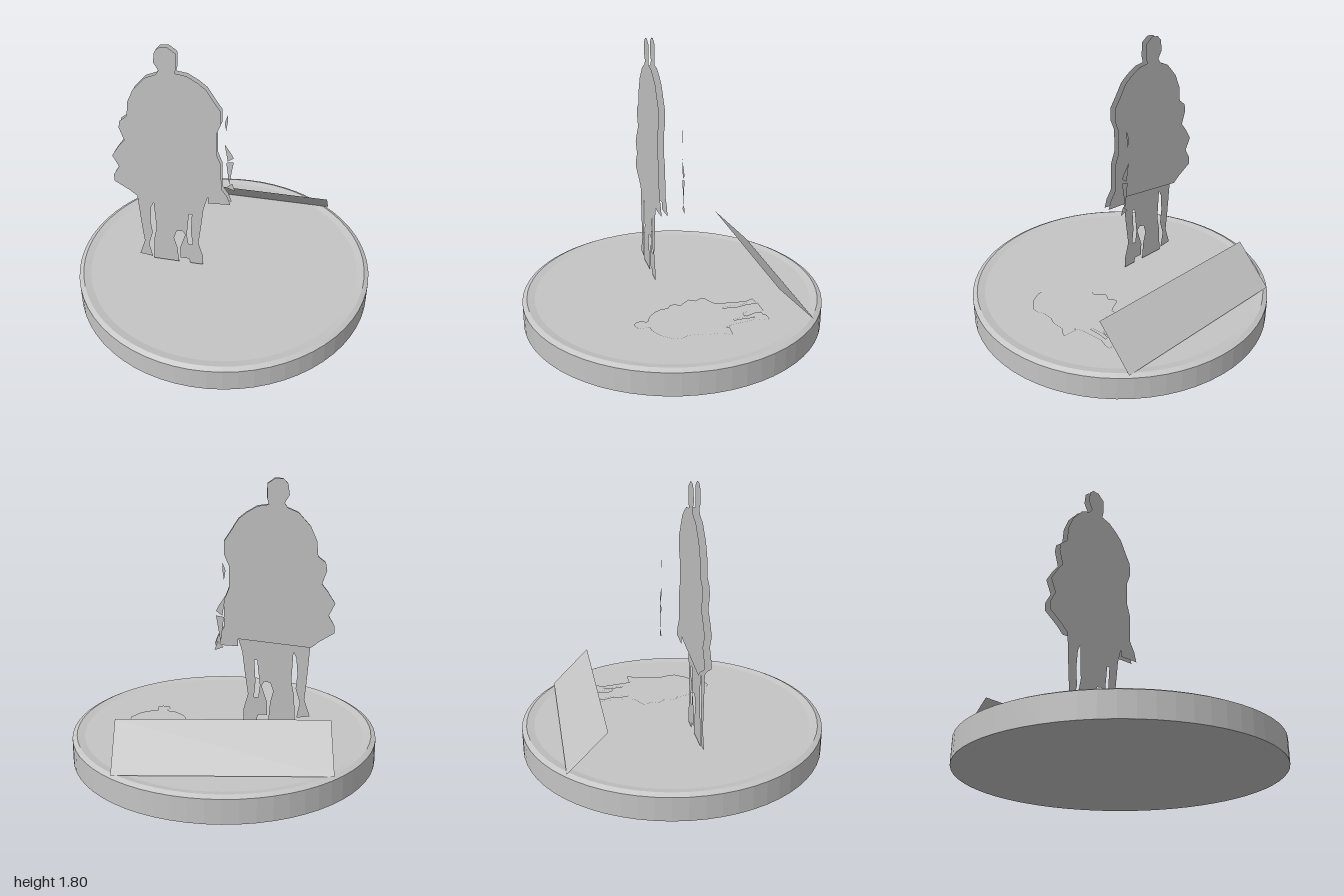
import * as THREE from 'three';

// Cloaked upper body, clockwise from the left hem to the right hem (x, y pairs)
const BODY = [
  -0.57, 0.70, -0.62, 0.74, -0.72, 0.80, -0.72, 0.85, -0.68, 0.92, -0.72, 1.00, -0.67, 1.08,
  -0.63, 1.13, -0.66, 1.22, -0.65, 1.27, -0.60, 1.31, -0.59, 1.41, -0.55, 1.50, -0.47, 1.59,
  -0.40, 1.62, -0.38, 1.65, -0.41, 1.70, -0.40, 1.77, -0.37, 1.80, -0.32, 1.805, -0.27, 1.77,
  -0.27, 1.68, -0.28, 1.64, -0.21, 1.63, -0.14, 1.59, -0.09, 1.55, -0.04, 1.47, 0.00, 1.41,
  0.00, 1.32, -0.03, 1.25, -0.03, 1.10, 0.00, 1.02, 0.00, 0.84, 0.04, 0.78, 0.06, 0.72,
  -0.09, 0.71, -0.09, 0.76,
];
// Legs, continuing from the right hem back to the left hem
const LEGS = [
  -0.12, 0.66, -0.14, 0.50, -0.16, 0.36, -0.13, 0.25, -0.13, 0.175, -0.22, 0.175, -0.23, 0.21,
  -0.29, 0.21, -0.29, 0.30, -0.25, 0.42, -0.27, 0.45, -0.31, 0.44, -0.33, 0.38, -0.31, 0.30,
  -0.30, 0.175, -0.48, 0.175, -0.47, 0.35, -0.45, 0.45, -0.46, 0.66, -0.48, 0.62, -0.49, 0.50,
  -0.48, 0.40, -0.51, 0.30, -0.49, 0.19, -0.58, 0.20, -0.54, 0.32, -0.55, 0.42, -0.56, 0.55,
];
const LEG_GAP = [-0.22, 0.60, -0.20, 0.60, -0.21, 0.45, -0.20, 0.34, -0.23, 0.34, -0.24, 0.42];

// Torn cloth pieces behind the figure
const SHARDS = [
  [0.01, 1.30, 0.01, 1.25, 0.00, 1.18, -0.01, 1.24],
  [-0.01, 1.08, 0.03, 1.02, 0.05, 0.98, 0.01, 0.95],
  [0.00, 0.94, 0.05, 0.95, 0.02, 0.77],
  [0.00, 0.74, 0.04, 0.78, 0.06, 0.72],
];

const toPoints = (a) =>
  Array.from({ length: a.length / 2 }, (_, i) => new THREE.Vector2(a[2 * i], a[2 * i + 1]));

function flat(outline, hole) {
  const shape = new THREE.Shape(toPoints(outline));
  if (hole) shape.holes.push(new THREE.Path(toPoints(hole)));
  return new THREE.ShapeGeometry(shape);
}

export function createModel() {
  const group = new THREE.Group();
  const grey = new THREE.MeshStandardMaterial({
    color: 0xc4c4c4, flatShading: true, side: THREE.DoubleSide,
  });
  grey.name = 'plain grey';
  const add = (name, geometry) => {
    const mesh = new THREE.Mesh(geometry, grey);
    mesh.name = name;
    group.add(mesh);
    return mesh;
  };

  // Round base with bevelled rim and sunken top
  const profile = toPoints([0, 0, 1, 0, 1, 0.155, 0.97, 0.17, 0.92, 0.16, 0, 0.16]);
  add('base', new THREE.LatheGeometry(profile, 64));

  // Panel leaning forward at the back of the base
  const panel = add('leaningPanel', new THREE.PlaneGeometry(1.3, Math.hypot(0.25, 0.25)));
  panel.position.set(0, 0.297, -0.63);
  panel.rotation.x = Math.PI / 4;

  // Cut-out figure and the cloak sheet behind it
  const figure = flat([...BODY, ...LEGS], LEG_GAP);
  add('figure', figure).position.z = 0.085;
  add('cloak', flat(BODY)).position.z = 0.045;
  SHARDS.forEach((s, i) => { add('clothShard' + (i + 1), flat(s)).position.z = -0.07; });

  // Small copy of the figure lying on the base, head to the front
  const lying = figure.clone();
  lying.translate(0.335, -0.175, 0).scale(0.63, 0.515, 1).rotateX(Math.PI / 2);
  add('lyingFigure', lying).position.set(0.43, 0.166, -0.49);

  return group;
}
